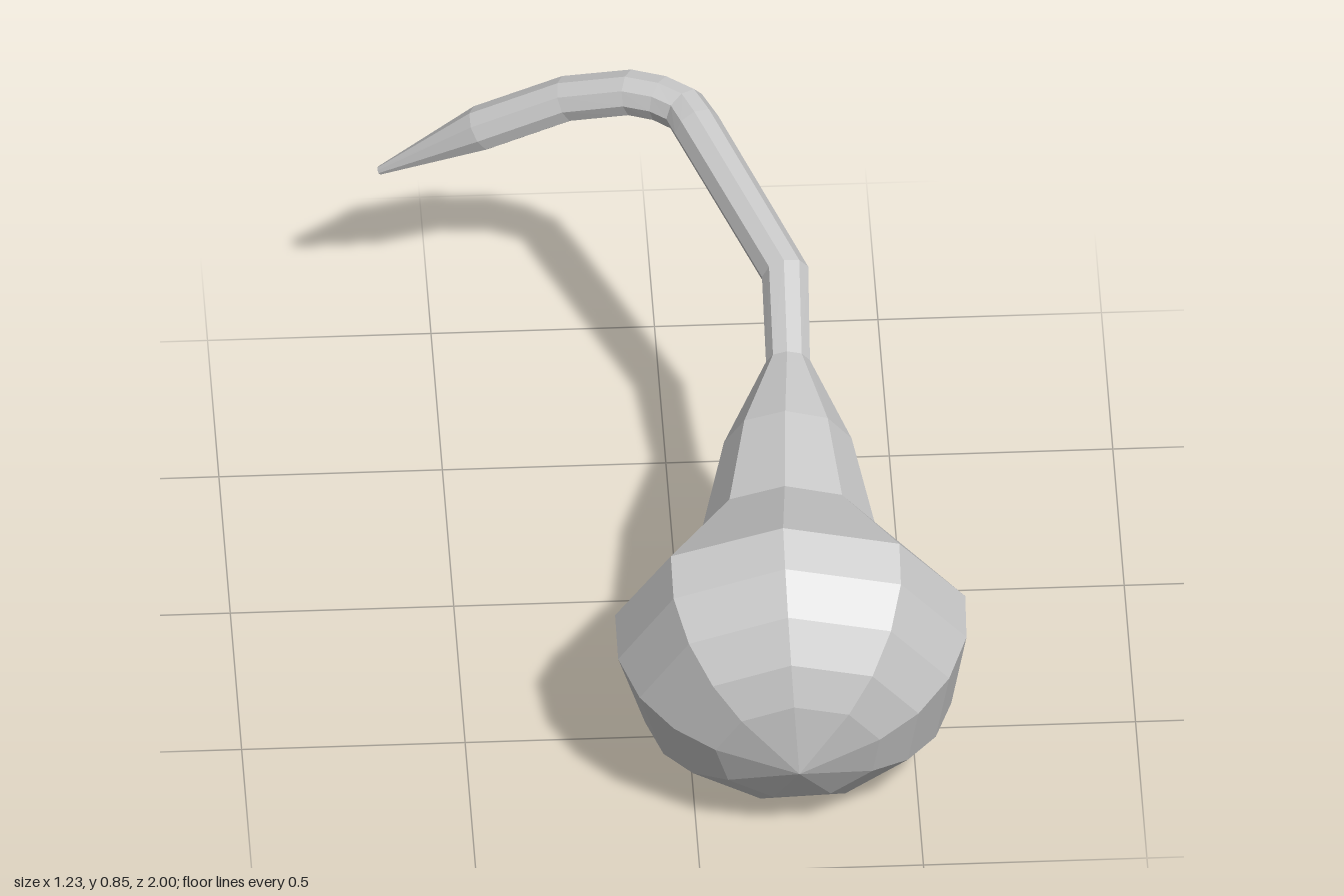
import * as THREE from 'three';

const SIDES = 9;
const START = -0.064; // small roll of the first facet away from straight up
const V = (x, y, z) => new THREE.Vector3(x, y, z);

// Bulb rings: distance from the rim along the bulb axis, radius
const AXIS = V(-0.005, -0.335, 0.943).normalize();
const CENTRE = V(0.225, 0.394, 0.61);
const BULB = [[0.405, 0], [0.348, 0.187], [0.295, 0.278], [0.215, 0.352], [0.114, 0.396], [0, 0.398]];

// Neck and stem rings: x, y, z, radius
const NECK = [
  [0.23, 0.478, 0.395, 0.196],
  [0.24, 0.55, 0.17, 0.145],
  [0.25, 0.627, -0.035, 0.05],
];
const STEM = [
  [0.255, 0.708, -0.255, 0.054],
  [0.08, 0.787, -0.7, 0.054],
  [0.055, 0.793, -0.76, 0.053],
  [0.005, 0.795, -0.8, 0.052],
  [-0.06, 0.787, -0.835, 0.052],
  [-0.2, 0.733, -0.89, 0.052],
  [-0.39, 0.625, -0.932, 0.052],
  [-0.615, 0.47, -0.99, 0.01],
  [-0.617, 0.469, -0.991, 0],
];

// Turns centres and radii into rings of points, carrying one up vector along the path
function makeRings(sections) {
  const up = V(0, 1, 0);
  const direction = (a, b) => sections[b].c.clone().sub(sections[a].c).normalize();
  return sections.map(({ c, r }, i) => {
    const t = V(0, 0, 0);
    if (i > 0) t.add(direction(i - 1, i));
    if (i < sections.length - 1) t.add(direction(i, i + 1));
    t.normalize();
    up.addScaledVector(t, -up.dot(t)).normalize();
    const side = t.clone().cross(up);
    const points = [];
    for (let k = 0; k < SIDES; k++) {
      const a = START + (k / SIDES) * Math.PI * 2;
      points.push(c.clone().addScaledVector(up, r * Math.cos(a)).addScaledVector(side, r * Math.sin(a)));
    }
    return { points, r };
  });
}

// Skins neighbouring rings; a ring of zero radius becomes a fan
function skin(name, rings, material) {
  const position = [];
  const tri = (...corners) => corners.forEach((p) => position.push(p.x, p.y, p.z));
  for (let i = 0; i < rings.length - 1; i++) {
    const [p, q] = [rings[i], rings[i + 1]];
    for (let k = 0; k < SIDES; k++) {
      const n = (k + 1) % SIDES;
      if (p.r > 0) tri(p.points[k], p.points[n], q.points[n]);
      if (q.r > 0) tri(p.points[k], q.points[n], q.points[k]);
    }
  }
  const geometry = new THREE.BufferGeometry();
  geometry.setAttribute('position', new THREE.Float32BufferAttribute(position, 3));
  geometry.computeVertexNormals();
  const mesh = new THREE.Mesh(geometry, material);
  mesh.name = name;
  return mesh;
}

export function createModel() {
  const group = new THREE.Group();
  group.name = 'gourd';
  const material = new THREE.MeshStandardMaterial({ color: 0xcccccc, flatShading: true });

  const sections = [
    ...BULB.map(([d, r]) => ({ c: CENTRE.clone().addScaledVector(AXIS, d), r })),
    ...[...NECK, ...STEM].map(([x, y, z, r]) => ({ c: V(x, y, z), r })),
  ];
  const rings = makeRings(sections);
  const rim = BULB.length - 1;
  const neckEnd = rim + NECK.length;

  // Round bulb, tapering neck and long bent stem share their border rings
  group.add(skin('bulb', rings.slice(0, rim + 1), material));
  group.add(skin('neck', rings.slice(rim, neckEnd + 1), material));
  group.add(skin('stem', rings.slice(neckEnd), material));
  return group;
}
